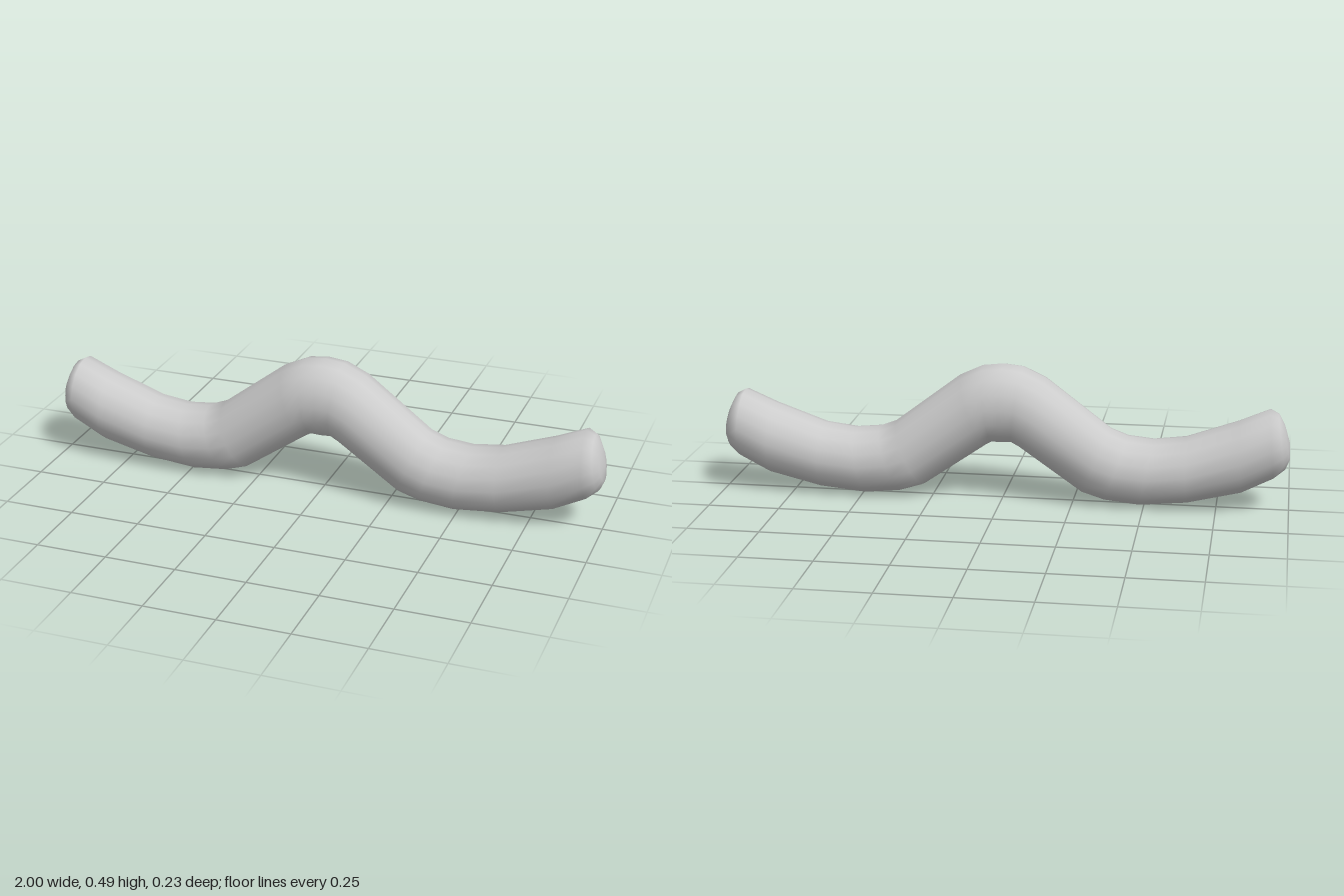
import * as THREE from 'three';

const SIDES = 16;

// Cross-sections from the middle outwards: top x, top y, bottom x, bottom y, half depth
const HALF = [
  [0, 0.488, 0, 0.205, 0.117],
  [0.07, 0.48, 0.035, 0.207, 0.117],
  [0.15, 0.443, 0.06, 0.193, 0.117],
  [0.38, 0.268, 0.28, 0.04, 0.117],
  [0.44, 0.245, 0.36, 0.015, 0.117],
  [0.53, 0.236, 0.485, 0.002, 0.117],
  [0.64, 0.25, 0.65, 0.018, 0.117],
  [0.82, 0.315, 0.835, 0.062, 0.117],
  [0.925, 0.361, 0.945, 0.118, 0.11],
  [0.955, 0.345, 0.983, 0.15, 0.086],
  [0.976, 0.305, 0.998, 0.185, 0.052],
];
const TIP = [0.996, 0.242];

function createBody() {
  // Mirror the half so that the sections run from -x to +x
  const mirrored = HALF.slice(1).reverse().map(([tx, ty, bx, by, d]) => [-tx, ty, -bx, by, d]);
  const sections = [...mirrored, ...HALF];
  const positions = [];
  const index = [];

  for (const [tx, ty, bx, by, depth] of sections) {
    for (let j = 0; j < SIDES; j++) {
      const a = (j / SIDES) * Math.PI * 2;
      const t = (1 + Math.cos(a)) / 2;
      positions.push(bx + (tx - bx) * t, by + (ty - by) * t, Math.sin(a) * depth);
    }
  }

  // Skin between neighbouring sections
  for (let i = 0; i < sections.length - 1; i++) {
    for (let j = 0; j < SIDES; j++) {
      const k = (j + 1) % SIDES;
      const a = i * SIDES + j, b = a + SIDES;
      const c = i * SIDES + k, d = c + SIDES;
      index.push(a, c, b, c, d, b);
    }
  }

  // Rounded ends close on one point each
  const start = sections.length * SIDES, end = start + 1;
  const last = start - SIDES;
  positions.push(-TIP[0], TIP[1], 0, TIP[0], TIP[1], 0);
  for (let j = 0; j < SIDES; j++) {
    const k = (j + 1) % SIDES;
    index.push(start, k, j, end, last + j, last + k);
  }

  const geometry = new THREE.BufferGeometry();
  geometry.setAttribute('position', new THREE.Float32BufferAttribute(positions, 3));
  geometry.setIndex(index);
  geometry.computeVertexNormals();
  return geometry;
}

export function createModel() {
  const group = new THREE.Group();
  group.name = 'wavyRod';
  const body = new THREE.Mesh(createBody(), new THREE.MeshStandardMaterial({ color: 0xcccccc }));
  body.name = 'curvedBody';
  group.add(body);
  return group;
}
